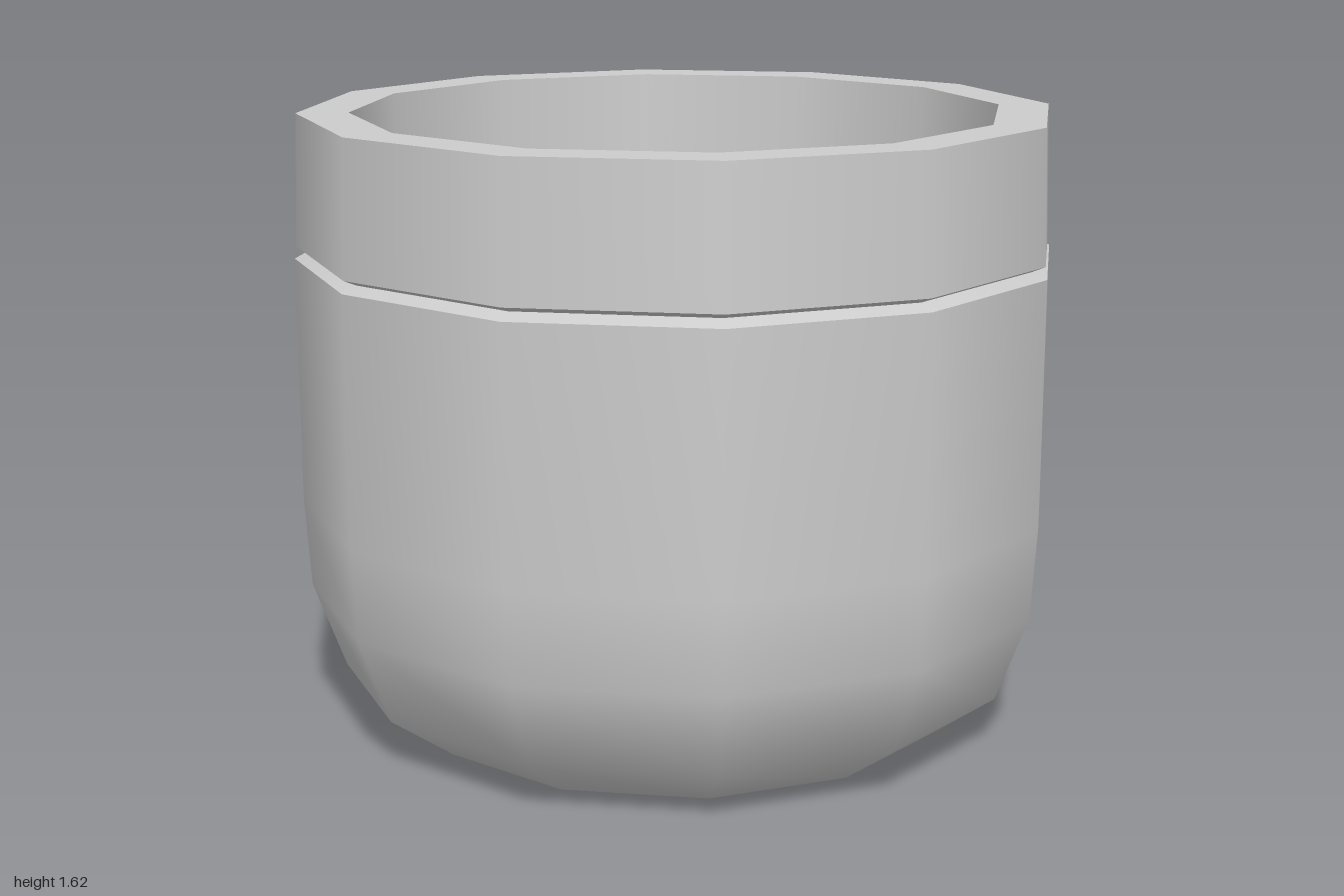
import * as THREE from 'three';

const SIDES = 12;

export function createModel() {
  const pot = new THREE.Group();
  pot.name = 'pot';
  const material = new THREE.MeshStandardMaterial({ color: 0xcccccc });

  // Each section is smooth in itself; the joints between sections stay sharp.
  const addSection = (name, profile) => {
    const points = profile.map(([r, y]) => new THREE.Vector2(r, y));
    const mesh = new THREE.Mesh(new THREE.LatheGeometry(points, SIDES), material);
    mesh.name = name;
    pot.add(mesh);
  };

  // Rounded outside, from the base centre up to the groove
  addSection('body', [[0, 0], [0.72, 0], [0.9, 0.13], [0.985, 0.36], [1, 0.6], [1, 1.245]]);

  // Narrow groove between body and collar
  addSection('grooveLower', [[1, 1.245], [0.96, 1.262]]);
  addSection('grooveUpper', [[0.96, 1.262], [0.995, 1.277]]);

  // Collar, flat rim and the hollow inside
  addSection('collar', [[0.995, 1.277], [0.985, 1.622]]);
  addSection('rim', [[0.985, 1.622], [0.85, 1.622]]);
  addSection('innerWall', [[0.85, 1.622], [0.815, 0.3]]);
  addSection('innerFloor', [[0.815, 0.3], [0, 0.3]]);

  return pot;
}
